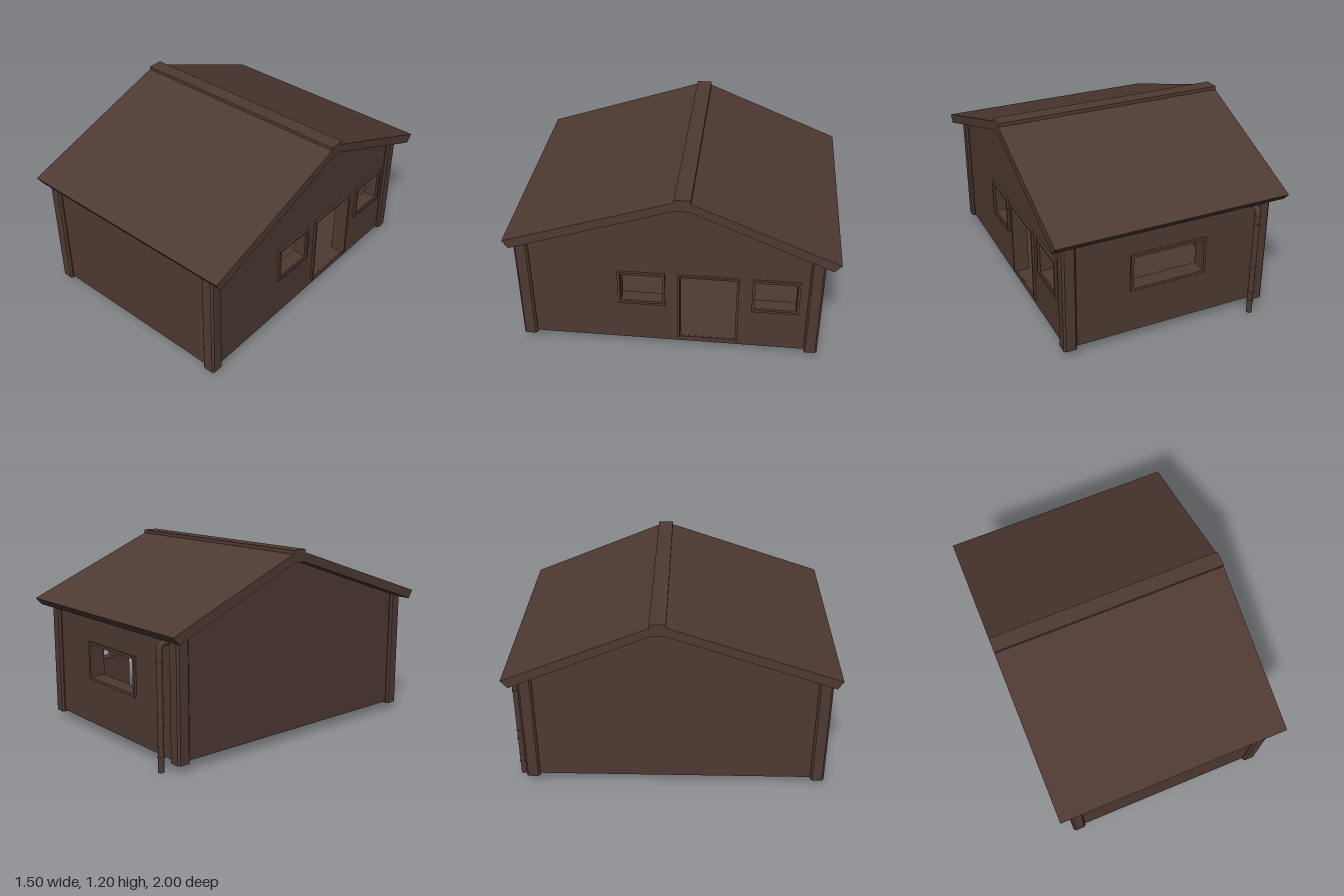
import * as THREE from 'three';

const brown = new THREE.MeshStandardMaterial({ color: 0x4e3a32 });
brown.name = 'dark brown';

function add(group, name, geometry, x = 0, y = 0, z = 0) {
  const mesh = new THREE.Mesh(geometry, brown);
  mesh.name = name;
  mesh.position.set(x, y, z);
  group.add(mesh);
  return mesh;
}

const rectPoints = (u0, u1, v0, v1) => [[u0, v0], [u1, v0], [u1, v1], [u0, v1]];

// Plate from an outline and holes, extruded along +z
function plate(points, depth, holes = []) {
  const toVec = (list) => list.map(([u, v]) => new THREE.Vector2(u, v));
  const shape = new THREE.Shape(toVec(points));
  for (const hole of holes) shape.holes.push(new THREE.Path(toVec(hole)));
  return new THREE.ExtrudeGeometry(shape, { depth, bevelEnabled: false });
}

// Same plate drawn in (z, y) and extruded along +x
function sidePlate(points, depth, holes = []) {
  const flip = (list) => list.map(([z, y]) => [-z, y]);
  return plate(flip(points), depth, holes.map(flip)).rotateY(Math.PI / 2);
}

export function createModel() {
  const house = new THREE.Group();
  house.name = 'house';

  const WALL = 0.085, SIDE = 0.66, FRONT = 0.94, BACK = -0.9, BASE = 0.065, TRIM = 0.017;
  const inset = ([u0, u1, v0, v1]) => rectPoints(u0 + TRIM, u1 - TRIM, v0 + TRIM, v1 - TRIM);

  // Openings as [from, to, bottom, top]
  const sideWindows = [[0.04, 0.335, 0.355, 0.6], [-0.785, -0.495, 0.355, 0.6]];
  const backWindow = [-0.25, 0.25, 0.355, 0.6];
  const doorHole = rectPoints(-0.4, -0.05, 0.1, 0.587);

  // Gable walls
  const gable = [[FRONT, BASE], [BACK, BASE], [BACK, 0.82], [-0.115, 1.15], [-0.03, 1.15], [FRONT, 0.83]];
  add(house, 'leftGableWall', sidePlate(gable, WALL, [...sideWindows.map(inset), doorHole]), SIDE - WALL);
  add(house, 'rightGableWall', sidePlate(gable, WALL), -SIDE);

  // Long walls and floor
  const inner = SIDE - WALL;
  add(house, 'frontWall', new THREE.BoxGeometry(inner * 2, 0.83 - BASE, WALL),
    0, (0.83 + BASE) / 2, FRONT - WALL / 2);
  add(house, 'backWall', plate(rectPoints(-inner, inner, BASE, 0.82), WALL, [inset(backWindow)]), 0, 0, BACK);
  add(house, 'floor', new THREE.BoxGeometry(SIDE * 2 - 0.02, 0.035, FRONT - BACK - 0.02),
    0, BASE + 0.0185, (FRONT + BACK) / 2);

  // Window and door frames
  for (const w of sideWindows) {
    add(house, 'sideWindowFrame', sidePlate(rectPoints(...w), 0.03, [inset(w)]), SIDE - 0.015);
  }
  add(house, 'backWindowFrame', plate(rectPoints(...backWindow), 0.03, [inset(backWindow)]), 0, 0, BACK - 0.015);
  add(house, 'doorFrame', sidePlate([
    [-0.035, 0.1], [-0.05, 0.1], [-0.05, 0.587], [-0.4, 0.587],
    [-0.4, 0.1], [-0.415, 0.1], [-0.415, 0.6], [-0.035, 0.6],
  ], 0.03), SIDE - 0.015);

  // Corner posts with chamfered edges
  const s = 0.0425, c = 0.012;
  const post = [[-s + c, -s], [s - c, -s], [s, -s + c], [s, s - c], [s - c, s], [-s + c, s], [-s, s - c], [-s, -s + c]];
  for (const side of [-1, 1]) {
    for (const [name, z, top] of [['frontPost', 0.96 - s, 0.825], ['backPost', -0.92 + s, 0.815]]) {
      add(house, name, plate(post, top - 0.055).rotateX(-Math.PI / 2), side * (0.68 - s), 0.055, z);
    }
  }

  // Roof slab with uneven slopes, and the ridge cap
  add(house, 'roof', sidePlate([
    [1, 0.842], [0.967, 0.79], [-0.03, 1.127], [-0.115, 1.127],
    [-0.957, 0.768], [-1, 0.815], [-0.125, 1.18], [-0.025, 1.183],
  ], 1.5), -0.75);
  add(house, 'ridgeCap', sidePlate(rectPoints(-0.125, -0.028, 1.165, 1.203), 1.5), -0.75);

  // Downpipe with elbow, collar and clamp rings
  const px = -0.567, pz = -0.959, r = 0.018;
  const pipe = new THREE.Group();
  pipe.name = 'downpipe';
  house.add(pipe);
  add(pipe, 'pipe', new THREE.CylinderGeometry(r, r, 0.69, 16), px, 0.345, pz);
  const bend = new THREE.CurvePath();
  const v = (y, z) => new THREE.Vector3(px, y, z);
  bend.add(new THREE.LineCurve3(v(0.745, -0.89), v(0.745, -0.92)));
  bend.add(new THREE.QuadraticBezierCurve3(v(0.745, -0.92), v(0.745, pz), v(0.706, pz)));
  bend.add(new THREE.LineCurve3(v(0.706, pz), v(0.68, pz)));
  add(pipe, 'elbow', new THREE.TubeGeometry(bend, 18, r, 16));
  add(pipe, 'collar', new THREE.CylinderGeometry(0.021, 0.021, 0.03, 16), px, 0.685, pz);
  for (const y of [0.635, 0.335, 0.27, 0.15, 0.09]) {
    add(pipe, 'clampRing', new THREE.CylinderGeometry(0.021, 0.021, 0.008, 16), px, y, pz);
  }

  return house;
}
